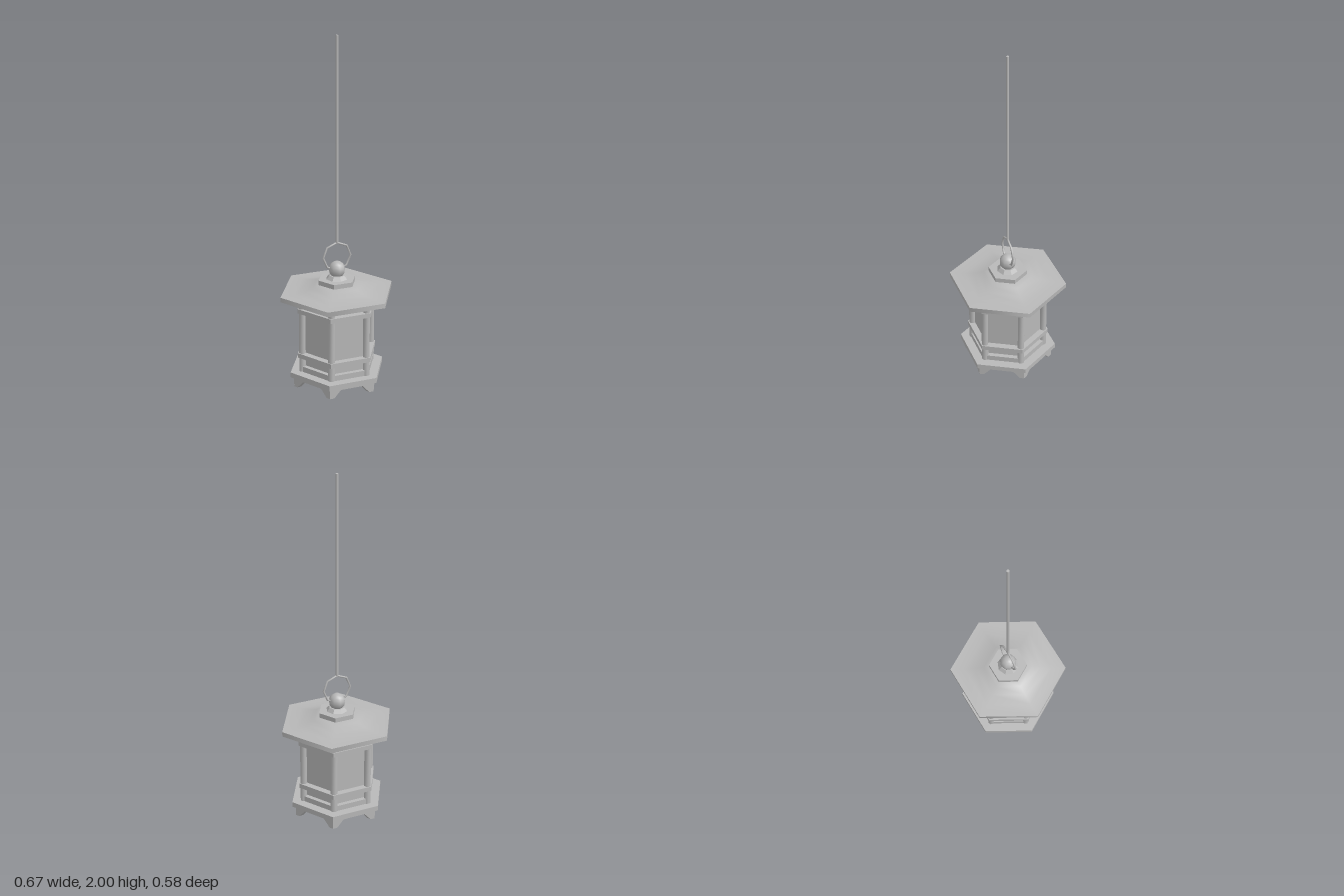
import * as THREE from 'three';
import { toCreasedNormals } from 'three/addons/utils/BufferGeometryUtils.js';

const metal = new THREE.MeshStandardMaterial({ color: 0xb8b8b8 });
metal.name = 'grey metal';

export function createModel() {
  const model = new THREE.Group();
  model.name = 'hangingLantern';

  const add = (name, geometry, x = 0, y = 0, z = 0, parent = model) => {
    const mesh = new THREE.Mesh(geometry, metal);
    mesh.name = name;
    mesh.position.set(x, y, z);
    parent.add(mesh);
    return mesh;
  };

  // Prism with flat sides and a corner on the x axis
  const prism = (name, rBottom, rTop, y0, y1, sides = 6) => {
    const start = sides === 6 ? Math.PI / 6 : 0;
    const g = new THREE.CylinderGeometry(rTop, rBottom, y1 - y0, sides, 1, false, start);
    return add(name, toCreasedNormals(g, 0.3), 0, (y0 + y1) / 2, 0);
  };

  // Six-sided surface turned from a list of [radius, height]
  const hexLathe = (name, points, parent) => {
    const profile = points.map(([r, y]) => new THREE.Vector2(r, y));
    return add(name, new THREE.LatheGeometry(profile, 6, Math.PI / 6), 0, 0, 0, parent);
  };

  // Footed skirt: six mitred panels with trapezoid cut-outs
  const skirt = new THREE.Group();
  skirt.name = 'footedSkirt';
  model.add(skirt);
  const apothem = 0.227, half = 0.131, wall = 0.022;
  const outline = [
    [-half, 0], [-0.106, 0], [-0.066, 0.045], [0.066, 0.045],
    [0.106, 0], [half, 0], [half, 0.062], [-half, 0.062],
  ].map(([x, y]) => new THREE.Vector2(x, y));
  let panel = new THREE.ExtrudeGeometry(new THREE.Shape(outline), { depth: wall, bevelEnabled: false });
  panel.translate(0, 0, apothem - wall);
  const p = panel.attributes.position;
  for (let i = 0; i < p.count; i++) p.setX(i, p.getX(i) * p.getZ(i) / apothem);
  panel = toCreasedNormals(panel, 0.3);
  for (let i = 0; i < 6; i++) add('skirtPanel', panel, 0, 0, 0, skirt).rotation.y = i * Math.PI / 3;

  // Base, body and rails
  prism('basePlate', 0.283, 0.283, 0.06, 0.09);
  prism('body', 0.198, 0.198, 0.085, 0.56);
  prism('bottomRail', 0.226, 0.226, 0.088, 0.122);
  prism('lowerRail', 0.238, 0.238, 0.175, 0.202);
  prism('upperRail', 0.238, 0.238, 0.447, 0.473);

  // Corner posts
  const posts = new THREE.Group();
  posts.name = 'posts';
  model.add(posts);
  const postGeometry = toCreasedNormals(new THREE.CylinderGeometry(0.02, 0.02, 0.455, 8), 0.9);
  for (let i = 0; i < 6; i++) {
    const a = i * Math.PI / 3;
    add('post', postGeometry, 0.21 * Math.cos(a), 0.3125, 0.21 * Math.sin(a), posts);
  }

  // Sweeping roof: underside, rim and top
  const roof = new THREE.Group();
  roof.name = 'roof';
  model.add(roof);
  hexLathe('roofUnderside', [[0, 0.572], [0.11, 0.565], [0.18, 0.543], [0.25, 0.531], [0.337, 0.53]], roof);
  hexLathe('roofRim', [[0.337, 0.53], [0.337, 0.557]], roof);
  hexLathe('roofTop', [[0.337, 0.557], [0.255, 0.558], [0.19, 0.57], [0.14, 0.587], [0.1, 0.602], [0, 0.605]], roof);

  // Cap, collar and finial ball
  prism('roofCap', 0.11, 0.11, 0.598, 0.625);
  prism('collar', 0.063, 0.045, 0.624, 0.645, 8);
  add('finialBall', new THREE.SphereGeometry(0.048, 8, 8), 0, 0.678, 0);

  // Hanging ring and rod
  add('hangingRing', new THREE.TorusGeometry(0.082, 0.006, 6, 8), 0, 0.755, 0);
  add('rod', toCreasedNormals(new THREE.CylinderGeometry(0.008, 0.008, 1.167, 8), 0.9), 0, 1.4165, 0);

  return model;
}
